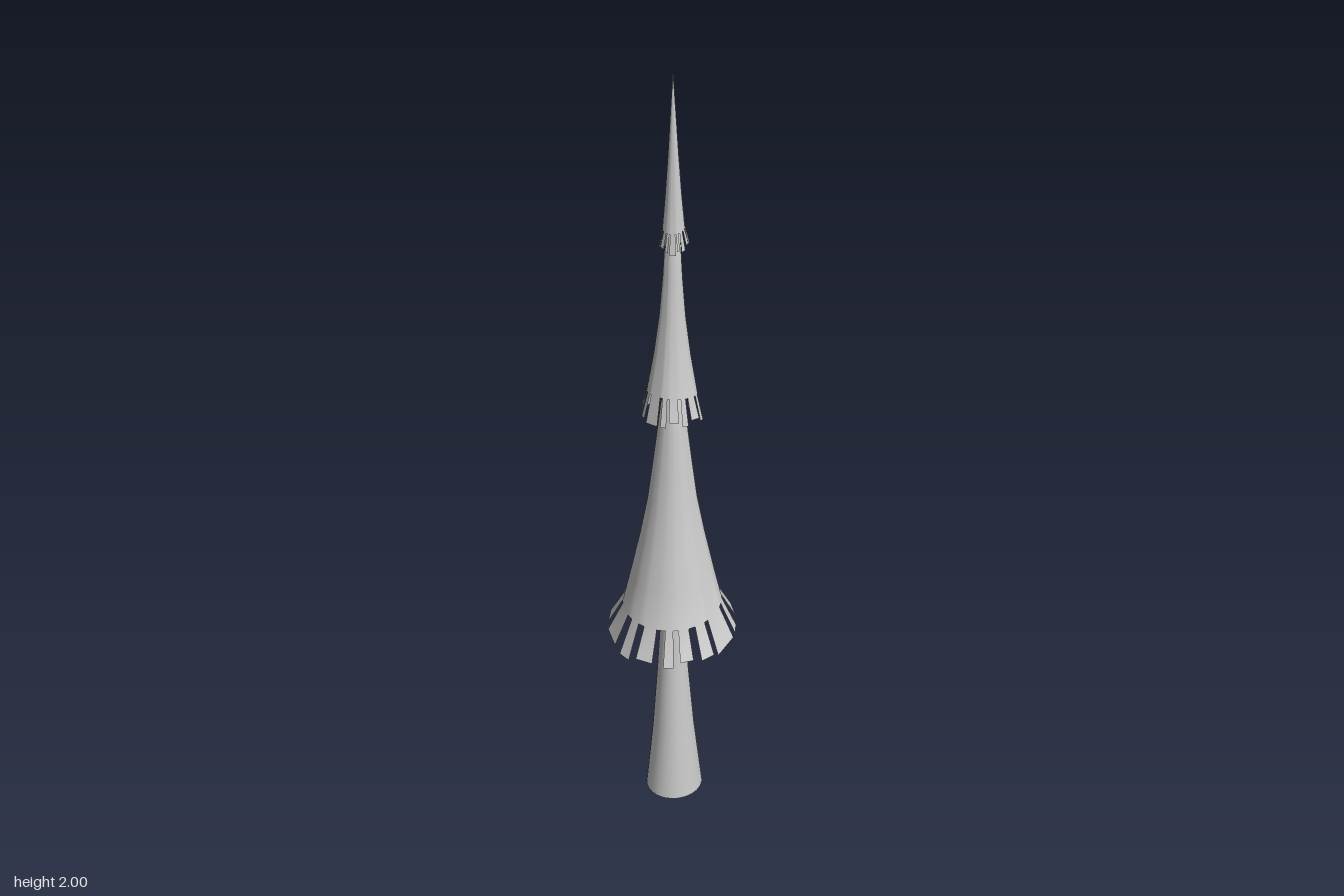
import * as THREE from 'three';

const material = new THREE.MeshStandardMaterial({ color: 0xcccccc, side: THREE.DoubleSide });

// Start and end angle (degrees) of each ragged tab round a skirt
const TABS = [
  [-2, 25], [30, 43], [51, 63], [69, 78], [88, 104], [112, 124], [132, 155], [160, 176],
  [182, 199], [207, 218], [223, 248], [254, 267], [272, 293], [299, 311], [318, 336], [341, 352],
];

// Surface through rings of { r, y, z }, following the given angles (degrees).
// keep(row, column) says whether a quad is built.
function loft(rings, angles, place, keep = () => true) {
  const n = angles.length, pos = [], index = [];
  rings.forEach((ring, i) => angles.forEach((deg, j) => {
    const a = THREE.MathUtils.degToRad(deg);
    pos.push(...place(ring, i, j, a));
  }));
  for (let i = 0; i < rings.length - 1; i++) {
    for (let j = 0; j < n; j++) {
      if (!keep(i, j)) continue;
      const a = i * n + j, b = i * n + (j + 1) % n, c = a + n, d = b + n;
      index.push(a, b, d, a, d, c);
    }
  }
  const geo = new THREE.BufferGeometry();
  geo.setAttribute('position', new THREE.Float32BufferAttribute(pos, 3));
  geo.setIndex(index);
  geo.computeVertexNormals();
  return geo;
}

// Flared foliage skirt: profile [radius, height] from tip to hem, last span cut into tabs
function tier(name, { profile, topZ, hemZ, tilt, turn, jitter }) {
  const last = profile.length - 1;
  const angles = TABS.flat().map((a) => a + turn);
  const place = ([r, y], i, j, a) => {
    const t = i / last;
    const x = r * Math.cos(a), z = r * Math.sin(a);
    const ragged = i === last ? (((j >> 1) * 7) % 5 - 2) * jitter : 0;
    return [x, y + tilt * z * t + ragged, z + topZ + (hemZ - topZ) * t];
  };
  const geo = loft(profile, angles, place, (i, j) => i < last - 1 || j % 2 === 0);
  const mesh = new THREE.Mesh(geo, material);
  mesh.name = name;
  return mesh;
}

export function createModel() {
  const model = new THREE.Group();
  model.name = 'pineTree';

  // Trunk: tapering, leaning slightly forward from its base, closed underneath
  const trunkRings = [
    [0, 1.17, -0.005], [0.024, 1.17, -0.005], [0.032, 0.52, -0.003], [0.041, 0.38, -0.006],
    [0.055, 0.2, -0.011], [0.076, 0, -0.018],
  ];
  const round = Array.from({ length: 24 }, (_, k) => k * 15);
  const trunk = new THREE.Mesh(loft(trunkRings, round, ([r, y, z], i, j, a) =>
    [r * 0.97 * Math.cos(a), y, z + r * 1.05 * Math.sin(a)]), material);
  trunk.name = 'trunk';
  const base = new THREE.Mesh(new THREE.CircleGeometry(0.076, 24), material);
  base.name = 'trunkBase';
  base.rotation.x = Math.PI / 2;
  base.scale.set(0.97, 1.05, 1);
  base.position.z = -0.018;
  model.add(trunk, base);

  // Three skirts of foliage
  model.add(
    tier('lowerFoliage', {
      profile: [[0, 1.22], [0.028, 1.17], [0.036, 1.1], [0.048, 1], [0.061, 0.9],
        [0.08, 0.8], [0.104, 0.69], [0.125, 0.6], [0.163, 0.525]],
      topZ: -0.005, hemZ: 0, tilt: -0.12, turn: 0, jitter: 0.005,
    }),
    tier('middleFoliage', {
      profile: [[0, 1.65], [0.017, 1.61], [0.023, 1.5], [0.031, 1.4], [0.044, 1.3],
        [0.061, 1.2], [0.076, 1.135]],
      topZ: -0.006, hemZ: 0, tilt: 0.2, turn: 100, jitter: 0.005,
    }),
    tier('upperFoliage', {
      profile: [[0, 2], [0.006, 1.9], [0.012, 1.8], [0.019, 1.7], [0.026, 1.62], [0.035, 1.58]],
      topZ: -0.006, hemZ: -0.013, tilt: -0.3, turn: 200, jitter: 0.003,
    }),
  );
  return model;
}
